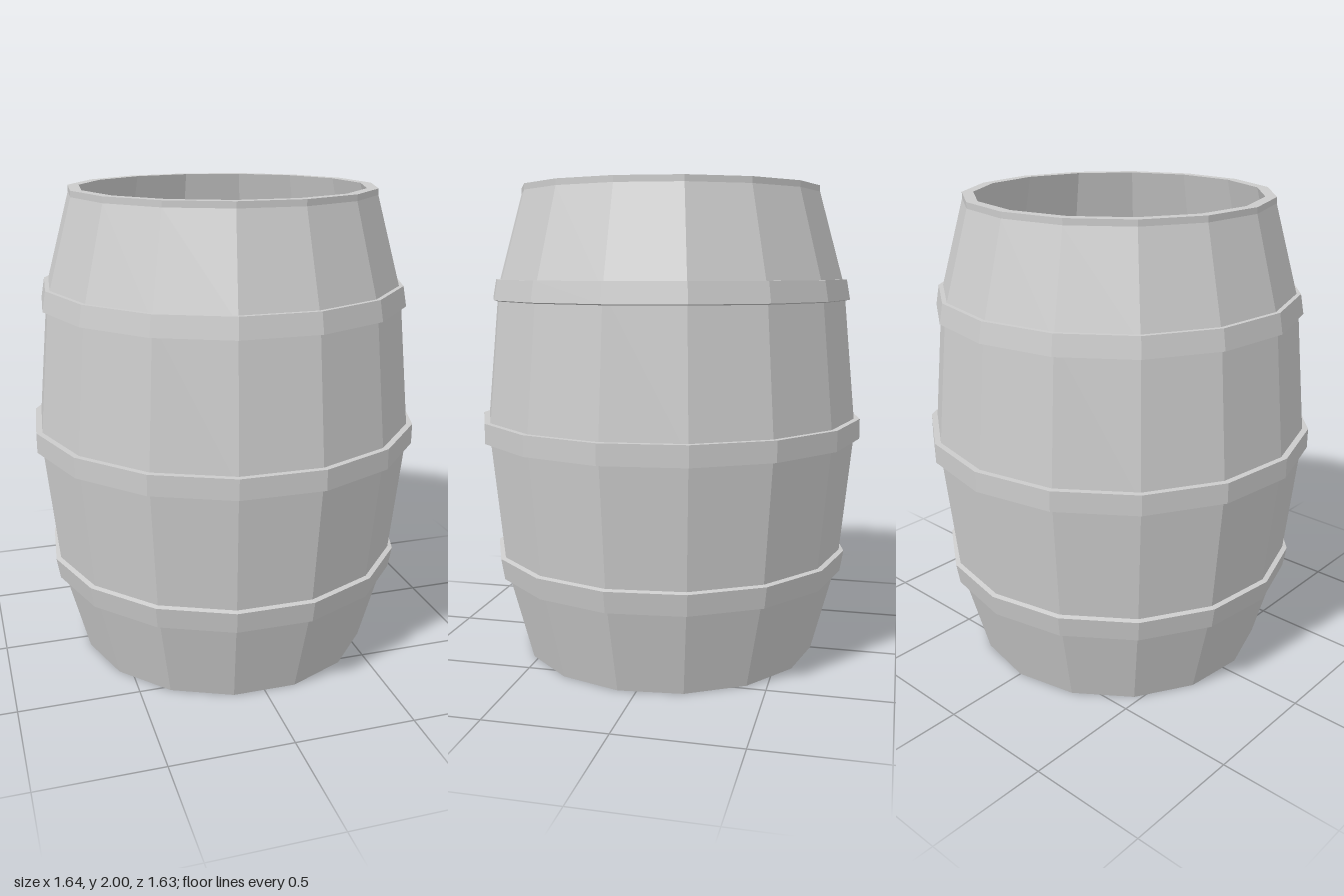
import * as THREE from 'three';

const SIDES = 15;
const material = new THREE.MeshStandardMaterial({ color: 0xcccccc, flatShading: true });

// Faceted ring with a corner pointing to the back; profile runs up the outside
function turned(name, profile) {
  const points = profile.map(([r, y]) => new THREE.Vector2(r, y));
  const mesh = new THREE.Mesh(new THREE.LatheGeometry(points, SIDES, Math.PI, Math.PI * 2), material);
  mesh.name = name;
  return mesh;
}

export function createModel() {
  const barrel = new THREE.Group();
  barrel.name = 'barrel';

  // Hollow body: base, bulging outer wall, rim lip, inner wall and floor
  barrel.add(turned('body', [
    [0, 0], [0.638, 0], [0.747, 0.41], [0.805, 0.985], [0.747, 1.585],
    [0.638, 1.975], [0.638, 2], [0.592, 2],
    [0.7, 1.57], [0.755, 0.985], [0.7, 0.42], [0.605, 0.06], [0, 0.06],
  ]));

  // Hoops: closed bands sunk slightly into the wall
  barrel.add(turned('middleHoop', [
    [0.78, 0.945], [0.826, 0.945], [0.826, 1.03], [0.78, 1.03], [0.78, 0.945],
  ]));
  barrel.add(turned('lowerHoop', [
    [0.715, 0.36], [0.757, 0.36], [0.772, 0.45], [0.73, 0.46], [0.715, 0.36],
  ]));
  barrel.add(turned('upperHoop', [
    [0.73, 1.522], [0.772, 1.532], [0.757, 1.615], [0.715, 1.615], [0.73, 1.522],
  ]));

  // Odd number of sides: shift so front and back extents match
  for (const part of barrel.children) part.position.z = 0.009;
  return barrel;
}
